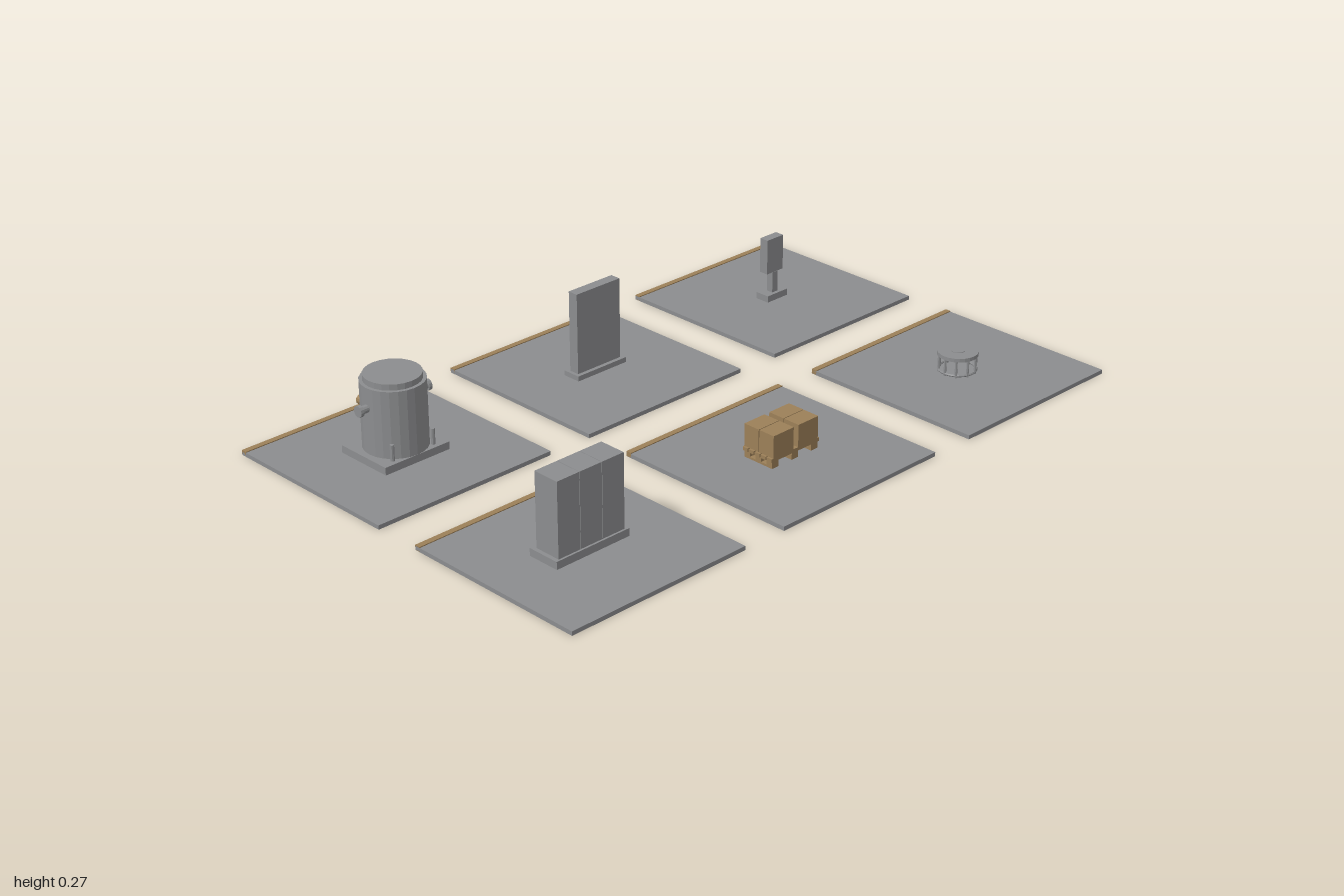
import * as THREE from 'three';

const grey = new THREE.MeshStandardMaterial({ color: 0x8c8d8f, flatShading: true });
grey.name = 'steelGrey';
const tan = new THREE.MeshStandardMaterial({ color: 0x9c8058, flatShading: true });
tan.name = 'tan';

const FLOOR = 0.012;   // top of every tile
const COLS = [-0.7125, 0, 0.7125];
const ROW = 0.356;

function add(parent, name, geometry, material, x, y, z) {
  const mesh = new THREE.Mesh(geometry, material);
  mesh.name = name;
  mesh.position.set(x, y, z);
  parent.add(mesh);
  return mesh;
}

// box given by its low and high limits on each axis
function box(parent, name, mat, [x0, x1], [y0, y1], [z0, z1]) {
  return add(parent, name, new THREE.BoxGeometry(x1 - x0, y1 - y0, z1 - z0), mat,
    (x0 + x1) / 2, (y0 + y1) / 2, (z0 + z1) / 2);
}

// upright cylinder between two heights
function drum(parent, name, mat, r, y0, y1, x = 0, z = 0, sides = 24) {
  return add(parent, name, new THREE.CylinderGeometry(r, r, y1 - y0, sides), mat, x, (y0 + y1) / 2, z);
}

function group(parent, name, x, z) {
  const g = new THREE.Group();
  g.name = name;
  g.position.set(x, 0, z);
  parent.add(g);
  return g;
}

function tile(parent, x, z) {
  const g = group(parent, 'tile', x, z);
  box(g, 'tileSlab', grey, [-0.2875, 0.2875], [0, FLOOR], [-0.284, 0.284]);
  box(g, 'tileEdgeStrip', tan, [-0.2875, 0.2875], [0.001, 0.0145], [-0.285, -0.268]);
}

function tank(parent) {
  const g = group(parent, 'tank', COLS[0], -ROW);
  box(g, 'tankBase', grey, [-0.107, 0.107], [FLOOR, 0.034], [-0.092, 0.089]);
  drum(g, 'tankBody', grey, 0.089, 0.034, 0.226);
  drum(g, 'tankLid', grey, 0.079, 0.226, 0.243);
  for (const s of [-1, 1]) {
    // side nozzle with flange
    const pipe = add(g, 'nozzle', new THREE.CylinderGeometry(0.011, 0.011, 0.045, 12), grey, s * 0.095, 0.167, 0);
    pipe.rotation.z = Math.PI / 2;
    const flange = add(g, 'nozzleFlange', new THREE.CylinderGeometry(0.016, 0.016, 0.01, 12), grey, s * 0.113, 0.167, 0);
    flange.rotation.z = Math.PI / 2;
    // front posts
    drum(g, 'frontPost', grey, 0.006, 0.034, 0.08, s * 0.068, 0.07, 8);
    // gauges on the service side
    const gauge = add(g, 'gauge', new THREE.CylinderGeometry(0.014, 0.014, 0.02, 12), tan, s * 0.036, 0.143, -0.086);
    gauge.rotation.x = Math.PI / 2;
  }
}

function door(parent) {
  const g = group(parent, 'door', COLS[1], -ROW);
  box(g, 'doorSill', grey, [-0.09, 0.09], [FLOOR, 0.027], [-0.03, 0.027]);
  box(g, 'doorPanel', grey, [-0.08, 0.08], [0.027, 0.267], [-0.007, 0.015]);
  for (const s of [-1, 1]) {
    add(g, 'doorJamb', new THREE.BoxGeometry(0.016, 0.24, 0.01), grey, s * 0.072, 0.147, -0.012);
  }
  box(g, 'doorLintel', grey, [-0.064, 0.064], [0.249, 0.267], [-0.017, -0.007]);
  box(g, 'doorHandle', grey, [0.043, 0.05], [0.125, 0.155], [-0.018, -0.007]);
}

function terminal(parent) {
  const g = group(parent, 'terminal', 0.708, -ROW);
  box(g, 'terminalFoot', grey, [-0.041, 0.041], [FLOOR, 0.032], [-0.022, 0.025]);
  box(g, 'terminalPost', grey, [-0.011, 0.011], [0.032, 0.096], [-0.008, 0.014]);
  box(g, 'terminalHousing', grey, [-0.033, 0.033], [0.096, 0.203], [-0.016, 0.013]);
  box(g, 'terminalScreen', grey, [-0.024, 0.024], [0.145, 0.19], [-0.021, -0.016]);
  box(g, 'terminalKeys', grey, [-0.018, 0.018], [0.115, 0.13], [-0.02, -0.016]);
}

function lockers(parent) {
  const g = group(parent, 'lockers', COLS[0], ROW);
  box(g, 'lockerPlinth', grey, [-0.121, 0.121], [FLOOR, 0.034], [-0.05, 0.048]);
  for (let i = -1; i <= 1; i++) {
    const x = i * 0.0735;
    box(g, 'lockerBody', grey, [x - 0.036, x + 0.036], [0.034, 0.246], [-0.038, 0.042]);
    box(g, 'lockerDoor', grey, [x - 0.031, x + 0.031], [0.042, 0.238], [-0.043, -0.038]);
    box(g, 'lockerHandle', grey, [x + 0.016, x + 0.022], [0.127, 0.157], [-0.049, -0.043]);
  }
}

function crates(parent) {
  const g = group(parent, 'palletOfCrates', COLS[1], ROW);
  // pallet: runners, blocks and deck boards
  for (const x of [-0.074, 0, 0.074]) {
    box(g, 'palletRunner', tan, [x - 0.012, x + 0.012], [FLOOR, 0.018], [-0.05, 0.05]);
    for (const z of [-0.04, 0, 0.04]) {
      box(g, 'palletBlock', tan, [x - 0.012, x + 0.012], [0.018, 0.032], [z - 0.01, z + 0.01]);
    }
  }
  for (let i = -2; i <= 2; i++) {
    const z = i * 0.0215;
    box(g, 'palletBoard', tan, [-0.09, 0.09], [0.032, 0.042], [z - 0.009, z + 0.009]);
  }
  // four crates with a gap down the middle
  for (const sx of [-1, 1]) for (const sz of [-1, 1]) {
    add(g, 'crate', new THREE.BoxGeometry(0.075, 0.065, 0.0515), tan, sx * 0.0465, 0.0745, sz * 0.0268);
  }
}

function stand(parent) {
  const g = group(parent, 'roundStand', 0.7125, ROW);
  drum(g, 'standTop', grey, 0.058, 0.061, 0.072);
  drum(g, 'standCap', grey, 0.02, 0.072, 0.0735);
  const ring = add(g, 'standRing', new THREE.TorusGeometry(0.053, 0.004, 6, 24), grey, 0, 0.018, 0);
  ring.rotation.x = Math.PI / 2;
  for (let i = 0; i < 10; i++) {
    const a = (i / 10) * Math.PI * 2;
    drum(g, 'standPost', grey, 0.004, FLOOR, 0.062, 0.053 * Math.cos(a), 0.053 * Math.sin(a), 6);
  }
}

export function createModel() {
  const model = new THREE.Group();
  model.name = 'facilityTiles';
  for (const x of COLS) for (const z of [-ROW, ROW]) tile(model, x, z);
  for (const build of [tank, door, terminal, lockers, crates, stand]) build(model);
  return model;
}
